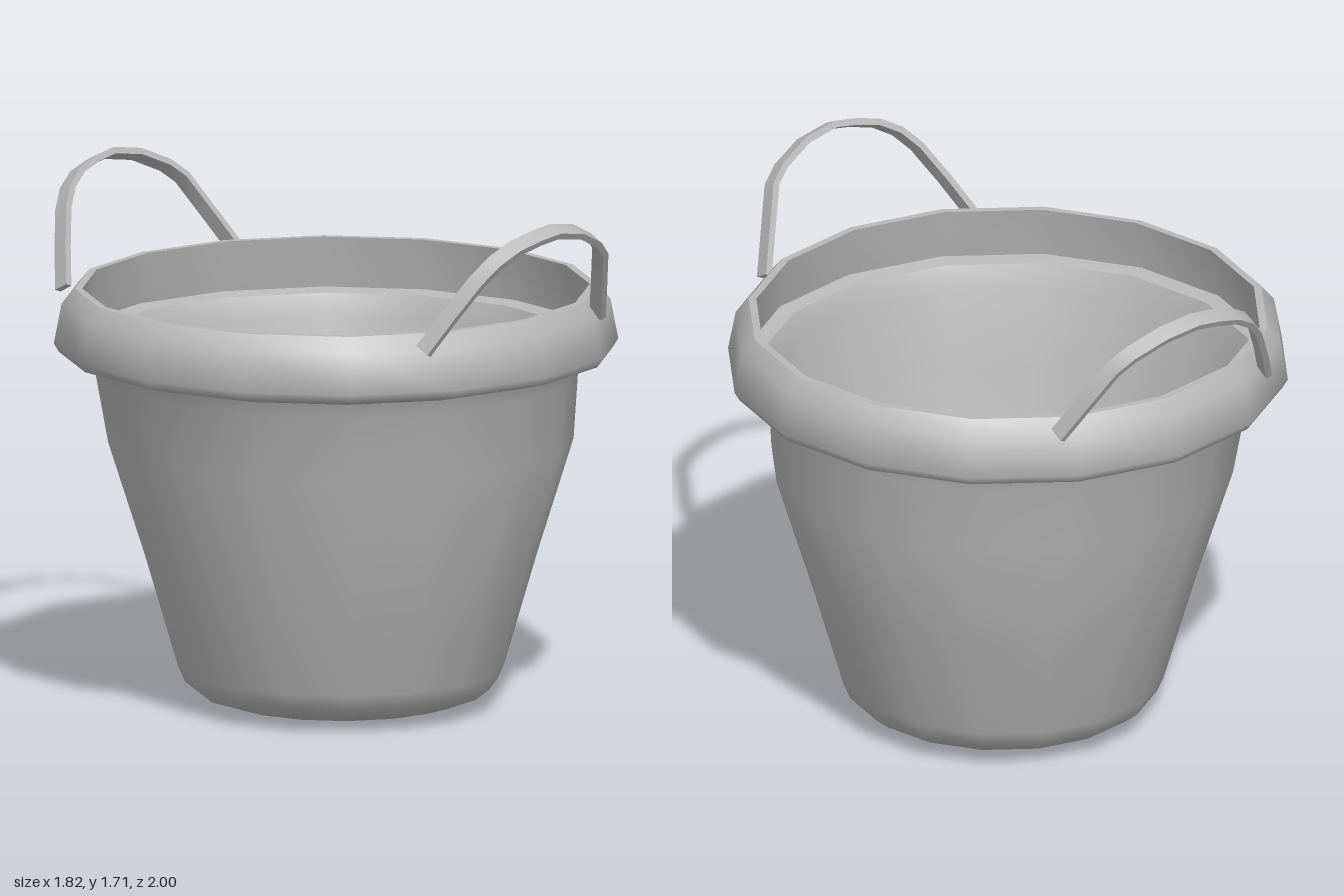
import * as THREE from 'three';
import { toCreasedNormals } from 'three/addons/utils/BufferGeometryUtils.js';

const SIDES = 16;
const grey = new THREE.MeshStandardMaterial({ color: 0xb8b8b8 });
grey.name = 'grey plastic';

// The tapered wall sits slightly to one side below the rim
function leanWall(geometry) {
  const p = geometry.attributes.position;
  for (let i = 0; i < p.count; i++) {
    const t = THREE.MathUtils.clamp((1.15 - p.getY(i)) / 0.3, 0, 1);
    p.setX(i, p.getX(i) + 0.025 * t);
  }
  return geometry;
}

function turned(name, profile, lean) {
  const points = profile.map(([r, y]) => new THREE.Vector2(r, y));
  const lathe = new THREE.LatheGeometry(points, SIDES);
  if (lean) leanWall(lathe);
  const mesh = new THREE.Mesh(toCreasedNormals(lathe, 0.85), grey);
  mesh.name = name;
  return mesh;
}

// Flat strap bent into an arch, leaning outward from the rim
function handle(name, side) {
  const path = [
    [-0.445, 0], [-0.385, 0.125], [-0.315, 0.255], [-0.26, 0.32], [-0.19, 0.365],
    [-0.1, 0.39], [-0.02, 0.402], [0.1, 0.38], [0.21, 0.325], [0.265, 0.275],
    [0.33, 0.135], [0.392, 0],
  ].map(([x, y]) => new THREE.Vector2(x, y));
  const offset = (d) => path.map((p, i) => {
    const a = path[Math.max(i - 1, 0)];
    const b = path[Math.min(i + 1, path.length - 1)];
    const along = b.clone().sub(a).normalize();
    return new THREE.Vector2(p.x - along.y * d, p.y + along.x * d);
  });
  const shape = new THREE.Shape([...offset(0.011), ...offset(-0.011).reverse()]);
  const strap = new THREE.ExtrudeGeometry(shape, { depth: 0.055, bevelEnabled: false });
  strap.translate(0, 0, -0.0275);
  const mesh = new THREE.Mesh(toCreasedNormals(strap, 0.7), grey);
  mesh.name = name;
  mesh.position.set(0, 1.335, side * 0.785);
  mesh.rotation.x = side * 0.48;
  return mesh;
}

export function createModel() {
  const group = new THREE.Group();
  group.name = 'bucket';

  // Outside wall with rounded base
  group.add(turned('outerWall', [
    [0, 0], [0.2, 0.006], [0.38, 0.02], [0.46, 0.045], [0.505, 0.08], [0.527, 0.13],
    [0.635, 0.5], [0.752, 0.87], [0.78, 1.1], [0.8, 1.15],
  ], true));

  // Inside wall and floor
  group.add(turned('innerWall', [
    [0.8, 1.2], [0.77, 1.13], [0.73, 0.87], [0.61, 0.5], [0.51, 0.14], [0.475, 0.09], [0, 0.08],
  ], true));

  // Thick rolled rim, undercut on the inside
  group.add(turned('rim', [
    [0.79, 1.145], [0.895, 1.172], [0.912, 1.2], [0.887, 1.33], [0.845, 1.38],
    [0.82, 1.38], [0.852, 1.21], [0.8, 1.2],
  ], false));

  group.add(handle('frontHandle', 1), handle('backHandle', -1));
  return group;
}
